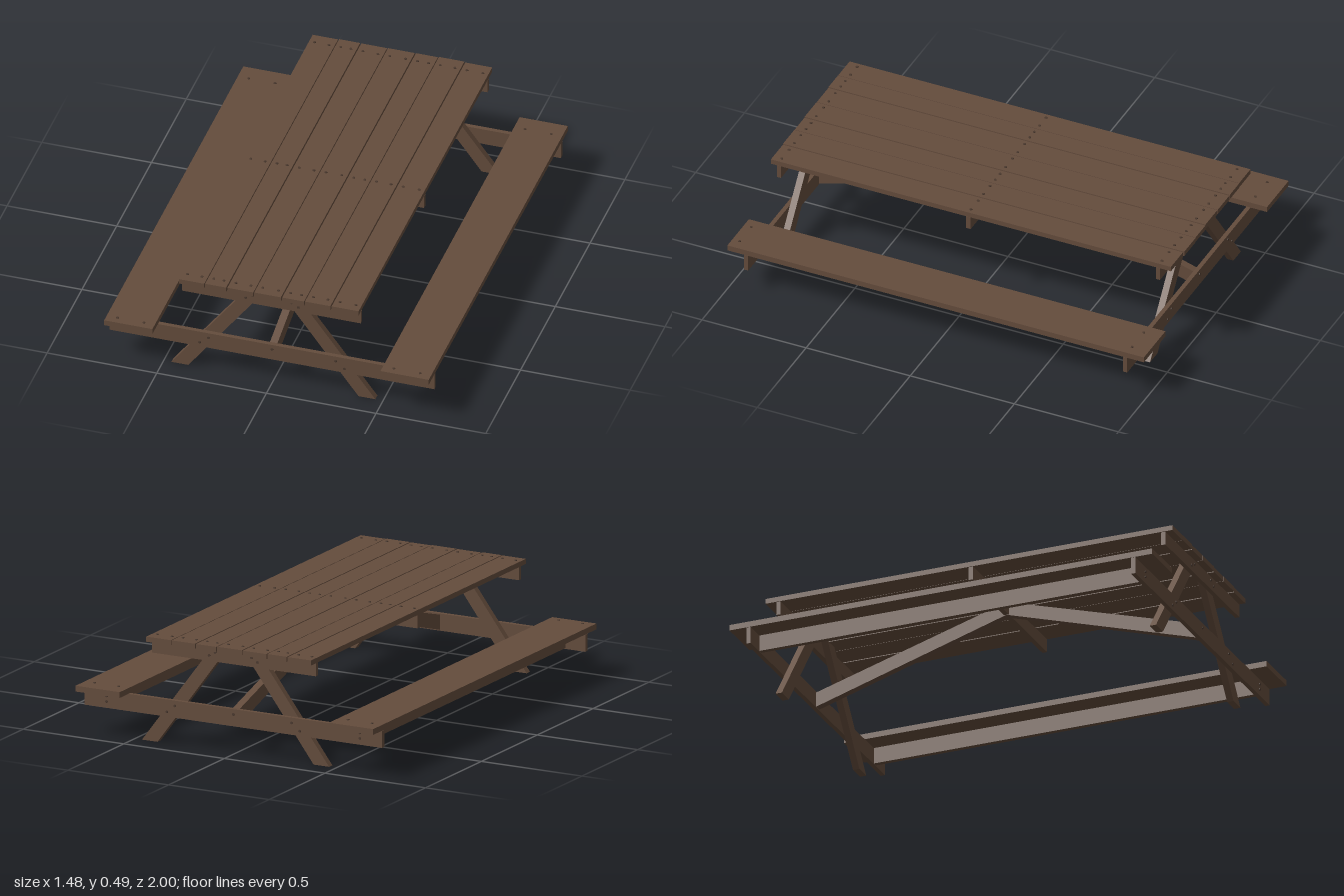
import * as THREE from 'three';

export function createModel() {
  const model = new THREE.Group();
  model.name = 'picnicTable';

  const wood = new THREE.MeshStandardMaterial({ color: 0x644c3c });
  wood.name = 'brown wood';
  const metal = new THREE.MeshStandardMaterial({ color: 0x4a392e });
  metal.name = 'dark bolt';

  const add = (name, geometry, material = wood) => {
    const mesh = new THREE.Mesh(geometry, material);
    mesh.name = name;
    model.add(mesh);
    return mesh;
  };

  // Box given by its minimum and maximum corners
  const board = (name, x0, x1, y0, y1, z0, z1) =>
    add(name, new THREE.BoxGeometry(x1 - x0, y1 - y0, z1 - z0))
      .position.set((x0 + x1) / 2, (y0 + y1) / 2, (z0 + z1) / 2);

  // Polygon in the x-y plane, extruded from z0 to z1
  const slab = (points, z0, z1) => {
    const shape = new THREE.Shape(points.map(([x, y]) => new THREE.Vector2(x, y)));
    return new THREE.ExtrudeGeometry(shape, { depth: z1 - z0, bevelEnabled: false }).translate(0, 0, z0);
  };

  const boltGeometry = new THREE.CylinderGeometry(0.006, 0.007, 0.006, 8);
  const bolt = (x, y, z, side = 0) => {
    const mesh = add('bolt', boltGeometry, metal);
    mesh.position.set(x, y, z);
    mesh.rotation.x = side * Math.PI / 2;
  };

  // Table top: seven planks of slightly different width and length
  const planks = [
    [-0.414, -0.298, -0.97, 0.955], [-0.294, -0.198, -0.972, 0.955],
    [-0.193, -0.075, -0.972, 0.953], [-0.071, 0.051, -0.972, 0.953],
    [0.056, 0.156, -0.974, 0.951], [0.16, 0.276, -0.976, 0.951],
    [0.281, 0.404, -0.972, 0.949],
  ];
  planks.forEach(([x0, x1, z0, z1], i) => {
    const lift = (i % 2) * 0.001;
    board('topPlank', x0, x1, 0.466 + lift, 0.489 + lift, z0, z1);
    for (const z of [-0.917, 0, 0.908]) {
      for (const x of [x0 + 0.025, x1 - 0.025]) bolt(x, 0.489 + lift, z);
    }
  });

  // Cleat under the middle of the top
  board('middleCleat', -0.41, 0.405, 0.405, 0.466, -0.011, 0.011);

  for (const s of [-1, 1]) {
    // Bench seat with a stiffening board on edge beneath it
    const [x0, x1] = s < 0 ? [-0.74, -0.52] : [0.52, 0.74];
    board('benchSeat', x0, x1, 0.204, 0.23, -1, 1);
    board('benchStiffener', s * 0.63 - 0.011, s * 0.63 + 0.011, 0.13, 0.204, -0.902, 0.902);
    for (const z of [-0.92, 0.965]) {
      for (const x of [0.57, 0.69]) bolt(s * x, 0.23, z);
    }
  }

  for (const e of [-1, 1]) {
    const range = (a, b) => (e > 0 ? [a, b] : [-b, -a]);

    // Cleat and long crossbeam on the outside of each leg pair
    board('endCleat', -0.41, 0.405, 0.405, 0.466, ...range(0.9, 0.92));
    board('crossbeam', -0.74, 0.74, 0.126, 0.203, ...range(0.9, 0.92));

    for (const s of [-1, 1]) {
      // Splayed leg, cut level at the foot and the top
      const leg = [[0.465, 0], [0.115, 0.465], [0.04, 0.465], [0.388, 0]];
      add('leg', slab(leg.map(([x, y]) => [s * x, y]), ...range(0.87, 0.9)));

      for (const [x, y] of [[0.63, 0.155], [0.63, 0.18], [0.29, 0.18], [0.33, 0.148], [0.12, 0.43], [0.09, 0.447]]) {
        bolt(s * x, y, e * 0.92, e);
      }
    }
    bolt(0, 0.18, e * 0.92, e);

    // Diagonal brace from the crossbeam up to the middle cleat
    const brace = slab([[0, 0.405], [0.9, 0.13], [0.9, 0.198], [0, 0.466]], -0.017, 0.017);
    add('diagonalBrace', brace.rotateY(-e * Math.PI / 2));
  }

  return model;
}
